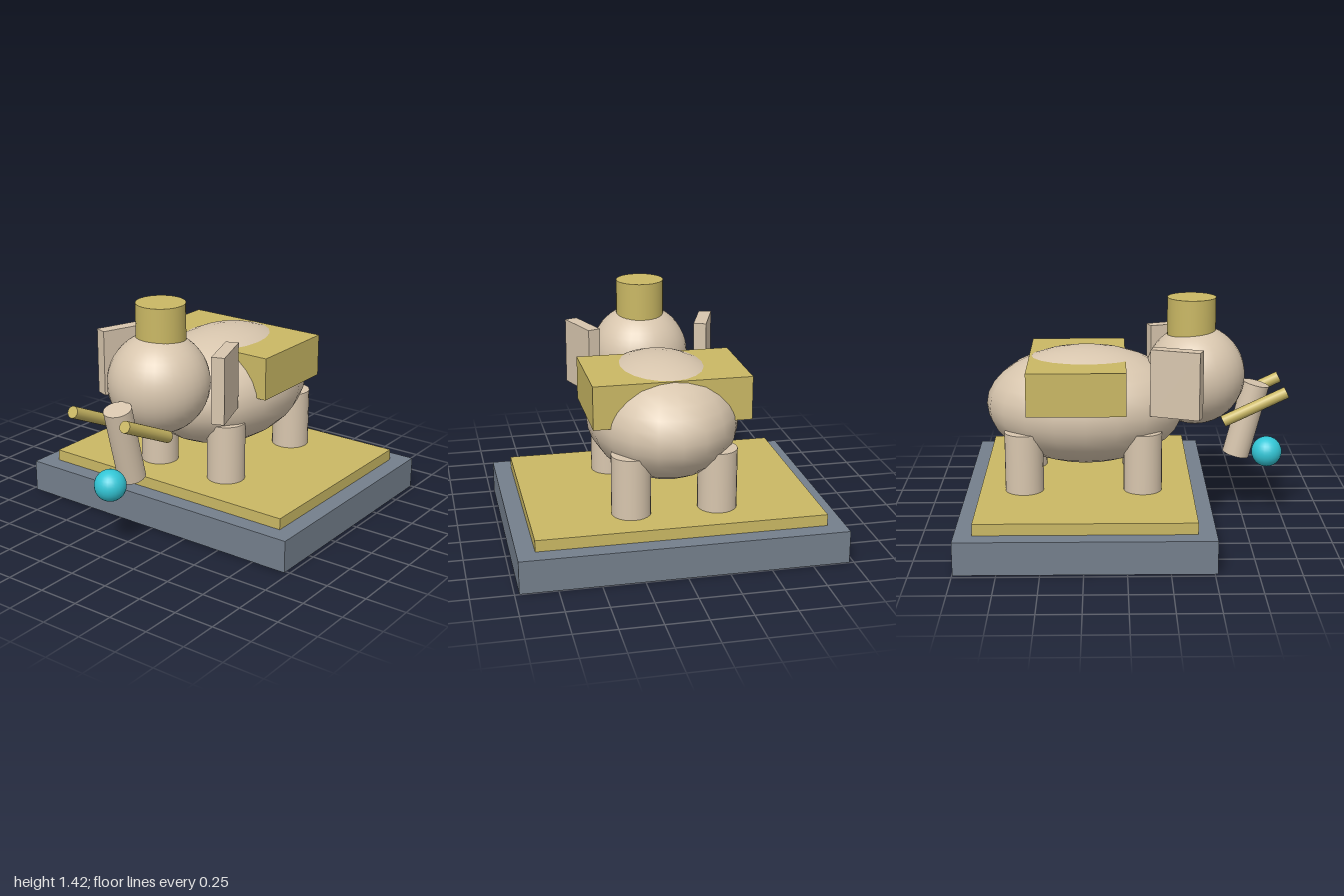
import * as THREE from 'three';

const material = (name, color) => {
  const m = new THREE.MeshStandardMaterial({ color });
  m.name = name;
  return m;
};

export function createModel() {
  const model = new THREE.Group();
  model.name = 'elephantOnPedestal';
  const hide = material('beige hide', 0xd8c6ae);
  const gold = material('soft gold', 0xcab864);
  const slate = material('slate', 0x747f8c);
  const cyan = material('cyan', 0x33c6d6);

  const add = (name, geometry, mat, x, y, z) => {
    const mesh = new THREE.Mesh(geometry, mat);
    mesh.name = name;
    mesh.position.set(x, y, z);
    model.add(mesh);
    return mesh;
  };

  // Straight round rod between two points
  const rod = (name, from, to, radius, mat) => {
    const a = new THREE.Vector3(...from);
    const dir = new THREE.Vector3(...to).sub(a);
    const mid = a.clone().addScaledVector(dir, 0.5);
    const mesh = add(name, new THREE.CylinderGeometry(radius, radius, dir.length(), 20), mat, mid.x, mid.y, mid.z);
    mesh.quaternion.setFromUnitVectors(new THREE.Vector3(0, 1, 0), dir.normalize());
    return mesh;
  };

  // Pedestal and the cloth on it
  add('pedestal', new THREE.BoxGeometry(1.945, 0.2, 1.515), slate, 0, 0.1, -0.24);
  add('pedestalCloth', new THREE.BoxGeometry(1.73, 0.07, 1.3), gold, 0, 0.235, -0.24);

  // Body with the saddle block around its back
  const body = add('body', new THREE.SphereGeometry(1, 20, 16), hide, 0, 0.75, -0.24);
  body.scale.set(0.46, 0.365, 0.622);
  add('saddle', new THREE.BoxGeometry(0.95, 0.265, 0.595), gold, 0, 0.923, -0.295);

  // Head and hat
  add('head', new THREE.SphereGeometry(0.31, 32, 24), hide, 0, 0.933, 0.435);
  add('hat', new THREE.CylinderGeometry(0.15, 0.15, 0.3, 32), gold, 0, 1.27, 0.41);

  // Paired parts
  for (const [side, s] of [['left', 1], ['right', -1]]) {
    for (const [end, z] of [['Front', 0.105], ['Back', -0.62]]) {
      add(`${side}${end}Leg`, new THREE.CylinderGeometry(0.118, 0.118, 0.375, 24), hide, s * 0.26, 0.453, z);
    }
    const ear = add(`${side}Ear`, new THREE.BoxGeometry(0.08, 0.41, 0.306), hide, s * 0.39, 0.97, 0.302);
    ear.rotation.y = s * THREE.MathUtils.degToRad(20);
    rod(`${side}Tusk`, [s * 0.195, 0.68, 0.6], [s * 0.195, 0.863, 0.985], 0.036, gold);
  }

  // Trunk and the ball in front of it
  rod('trunk', [0, 0.413, 0.7], [0, 0.872, 0.818], 0.085, hide);
  add('ball', new THREE.SphereGeometry(0.096, 24, 16), cyan, 0, 0.425, 0.897);

  return model;
}
